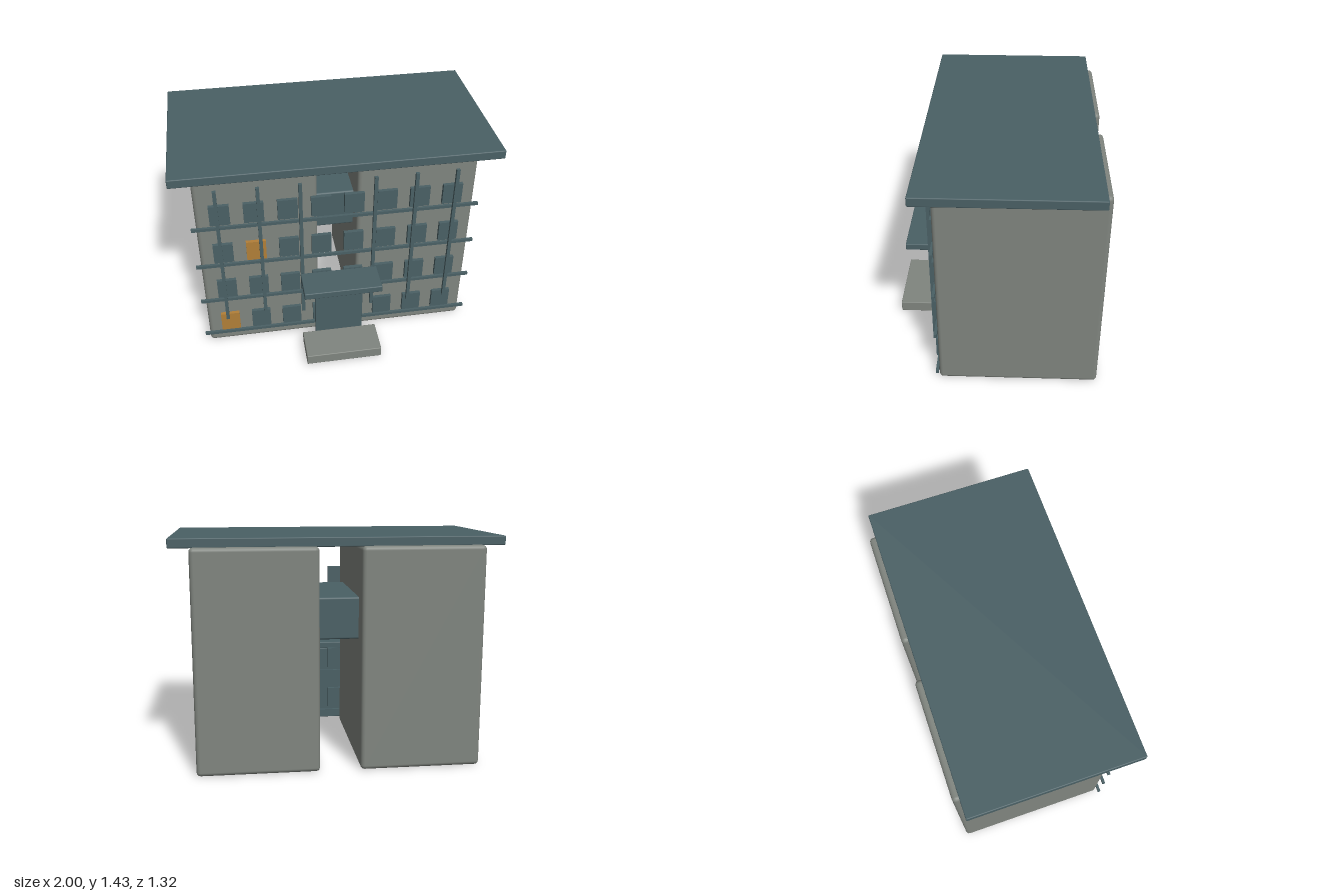
import * as THREE from 'three';
import { RoundedBoxGeometry } from 'three/addons/geometries/RoundedBoxGeometry.js';

export function createModel() {
  const building = new THREE.Group();
  building.name = 'apartmentBlock';

  const material = (name, color) => {
    const m = new THREE.MeshStandardMaterial({ color });
    m.name = name;
    return m;
  };
  const concrete = material('grey concrete', 0x80857f);
  const slate = material('slate blue', 0x4a6065);
  const amber = material('lit amber', 0xb27f38);

  // Box given by its extents on each axis; a bevel above zero rounds the edges
  const block = (name, mat, [x0, x1], [y0, y1], [z0, z1], bevel = 0, parent = building) => {
    const size = [x1 - x0, y1 - y0, z1 - z0];
    const geometry = bevel > 0
      ? new RoundedBoxGeometry(...size, 2, bevel)
      : new THREE.BoxGeometry(...size);
    const mesh = new THREE.Mesh(geometry, mat);
    mesh.name = name;
    mesh.position.set((x0 + x1) / 2, (y0 + y1) / 2, (z0 + z1) / 2);
    parent.add(mesh);
    return mesh;
  };
  const around = (centre, width) => [centre - width / 2, centre + width / 2];
  const group = (name) => {
    const g = new THREE.Group();
    g.name = name;
    building.add(g);
    return g;
  };

  // Two towers with a bridge between them, under one flat roof
  block('rightTower', concrete, [-0.877, -0.126], [0, 1.377], [-0.662, 0.334], 0.025);
  block('leftTower', concrete, [0.126, 0.877], [0, 1.377], [-0.662, 0.334], 0.025);
  block('bridge', slate, [-0.14, 0.14], [0.8, 1.06], [-0.525, 0.195], 0.012);
  block('roof', slate, [-1, 1], [1.373, 1.43], [-0.621, 0.442], 0.006);

  // Window grid, with two windows lit
  const windows = group('windows');
  const lit = new Set(['0,0', '2,1']);
  for (let row = 0; row < 4; row++) {
    for (let col = 0; col < 8; col++) {
      const isLit = lit.has(`${row},${col}`);
      block(isLit ? 'litWindow' : 'window', isLit ? amber : slate,
        around((col - 3.5) * 0.208, 0.125), around(0.182 + row * 0.3, 0.143),
        [0.332, 0.356], 0, windows);
    }
  }

  // Horizontal rails below each storey and vertical bars in front
  const lattice = group('facadeLattice');
  for (let row = 0; row < 4; row++) {
    block('rail', slate, [-0.908, 0.908], around(0.08 + row * 0.3, 0.02), [0.333, 0.351], 0, lattice);
  }
  for (const side of [-1, 1]) {
    for (const x of [0.233, 0.489, 0.744]) {
      block('verticalBar', slate, around(side * x, 0.022), [0.224, 1.273], [0.355, 0.375], 0, lattice);
    }
  }

  // Entrance: door, canopy and step
  const entrance = group('entrance');
  block('door', slate, [-0.16, 0.16], [0.012, 0.542], [0.4, 0.428], 0.004, entrance);
  block('canopy', slate, [-0.25, 0.25], [0.54, 0.586], [0.398, 0.6], 0.006, entrance);
  block('step', concrete, [-0.25, 0.25], [0.008, 0.081], [0.436, 0.662], 0.005, entrance);

  return building;
}
